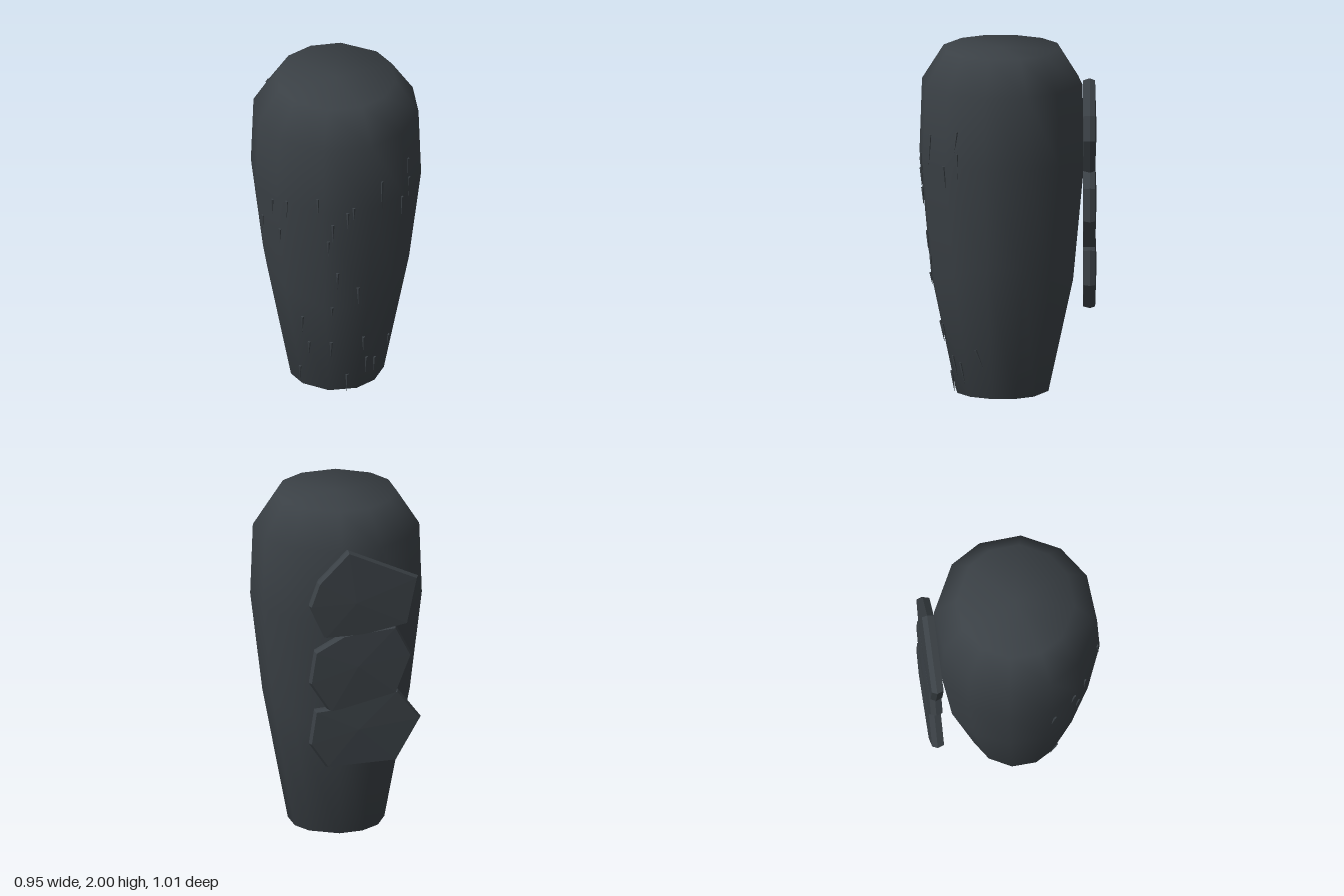
import * as THREE from 'three';

const V = (x, y, z) => new THREE.Vector3(x, y, z);

// Joins rings of points into a closed skin, with a centre point at each end.
function loft(rings, start, end) {
  const n = rings[0].length;
  const pts = [...rings.flat(), start, end];
  const s = pts.length - 2, e = pts.length - 1, last = (rings.length - 1) * n;
  const index = [];
  for (let i = 0; i < n; i++) {
    const j = (i + 1) % n;
    for (let r = 0; r < rings.length - 1; r++) {
      const a = r * n, b = a + n;
      index.push(a + i, b + i, b + j, a + i, b + j, a + j);
    }
    index.push(s, i, j, e, last + j, last + i);
  }
  const geo = new THREE.BufferGeometry().setFromPoints(pts);
  geo.setIndex(index);
  geo.computeVertexNormals();
  return geo;
}

export function createModel() {
  const group = new THREE.Group();
  const slate = new THREE.MeshStandardMaterial({ color: 0x3a4045 });
  slate.name = 'darkSlate';
  const slateFlat = slate.clone();
  slateFlat.flatShading = true;
  slateFlat.name = 'darkSlateFaceted';

  // Body: smooth, slightly uneven twelve-sided tapering trunk
  const angles = [12, 42, 69, 103, 138, 163, 193, 223, 250, 279, 317, 342]
    .map(THREE.MathUtils.degToRad);
  const cz = 0.027;
  const profile = [[0.275, 0.01], [0.42, 0.73], [0.489, 1.38], [0.474, 1.8], [0.345, 2]];
  const rings = profile.map(([r, y], k) => angles.map((a) =>
    V(r * Math.cos(a), y + (k === 1 ? 0.07 * Math.cos(2 * a) : 0), cz + r * 0.98 * Math.sin(a))));
  const body = new THREE.Mesh(loft(rings, V(0, 0.01, cz), V(0, 2, cz)), slate);
  body.name = 'body';
  group.add(body);

  // Back plates: three faceted slabs stacked down the back
  const plates = {
    upperBackPlate: [[0.05, 1.83], [0.23, 1.65], [0.28, 1.51], [0.19, 1.31], [-0.03, 1.31], [-0.3, 1.36], [-0.36, 1.64]],
    middleBackPlate: [[0.25, 1.23], [0.28, 1.04], [0.16, 0.85], [-0.23, 0.94], [-0.32, 1.17], [-0.23, 1.35], [0.08, 1.32]],
    lowerBackPlate: [[0.25, 0.87], [0.28, 0.67], [0.18, 0.52], [-0.23, 0.53], [-0.375, 0.78], [-0.24, 0.96], [0.1, 0.88]],
  };
  for (const [name, outline] of Object.entries(plates)) {
    const pts = [...outline].reverse();
    const mx = pts.reduce((t, p) => t + p[0], 0) / pts.length;
    const my = pts.reduce((t, p) => t + p[1], 0) / pts.length;
    const slab = [[0.96, -0.437], [1, -0.475], [0.96, -0.505]].map(([k, z]) =>
      pts.map(([x, y]) => V(mx + (x - mx) * k, my + (y - my) * k, z)));
    const plate = new THREE.Mesh(loft(slab, V(mx, my, -0.435), V(mx, my, -0.514)), slateFlat);
    plate.name = name;
    group.add(plate);
  }

  // Spines: thin slivers lying on the front, points down (x, top y, length)
  const spines = [
    [-0.14, 1.47, 0.11], [0.23, 1.54, 0.18], [0.39, 1.59, 0.12], [0.395, 1.46, 0.15],
    [0.35, 1.38, 0.14], [-0.385, 1.37, 0.12], [-0.31, 1.4, 0.12], [0.065, 1.4, 0.09],
    [0.03, 1.37, 0.12], [-0.055, 1.29, 0.13], [-0.08, 1.17, 0.11], [-0.43, 1.18, 0.11],
    [-0.345, 1.18, 0.11], [-0.025, 0.93, 0.13], [0.095, 0.81, 0.12], [-0.055, 0.68, 0.07],
    [-0.215, 0.555, 0.13], [-0.175, 0.365, 0.1], [-0.055, 0.4, 0.13], [0.13, 0.42, 0.12],
    [-0.22, 0.15, 0.13], [0.04, 0.13, 0.13], [0.15, 0.24, 0.13], [0.2, 0.21, 0.13], [0.285, 0.3, 0.11],
  ];
  const ray = new THREE.Raycaster();
  const surface = (x, y) => {
    ray.set(V(x, Math.max(y, 0.03), 2), V(0, 0, -1));
    const hit = ray.intersectObject(body)[0];
    return hit ? hit.point.z : 0.15;
  };
  for (const [x, y, length] of spines) {
    const top = V(x, y, surface(x, y) + 0.002);
    const tip = V(x, y - length, surface(x, y - length) + 0.008);
    const dir = tip.clone().sub(top);
    const spine = new THREE.Mesh(new THREE.ConeGeometry(0.01, dir.length(), 4), slateFlat);
    spine.name = 'spine';
    spine.position.copy(top).add(tip).multiplyScalar(0.5);
    spine.quaternion.setFromUnitVectors(V(0, 1, 0), dir.normalize());
    group.add(spine);
  }
  return group;
}
